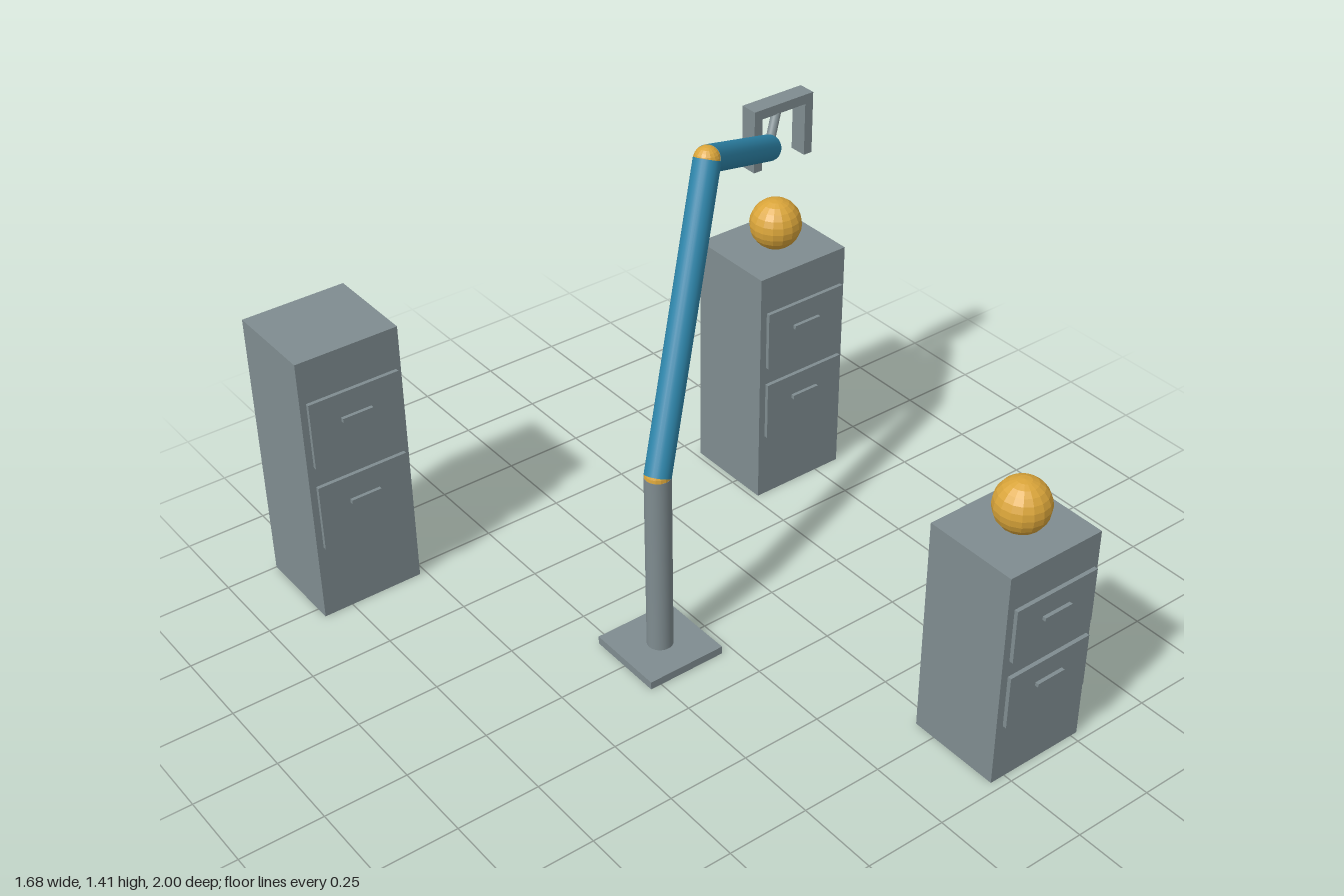
import * as THREE from 'three';

const mat = (name, color, extra = {}) => {
  const m = new THREE.MeshStandardMaterial({ color, ...extra });
  m.name = name;
  return m;
};

export function createModel() {
  const grey = mat('steel grey', 0x7f8c90);
  const blue = mat('arm blue', 0x2e86ab);
  const gold = mat('gold', 0xdaa53a, { flatShading: true });
  const model = new THREE.Group();
  model.name = 'robotArmAndCabinets';

  const add = (parent, name, geometry, material, x, y, z) => {
    const mesh = new THREE.Mesh(geometry, material);
    mesh.name = name;
    mesh.position.set(x, y, z);
    parent.add(mesh);
    return mesh;
  };
  const box = (parent, name, w, h, d, x, y, z) =>
    add(parent, name, new THREE.BoxGeometry(w, h, d), grey, x, y, z);
  const ball = (parent, name, r, x, y, z) =>
    add(parent, name, new THREE.SphereGeometry(r, 16, 12), gold, x, y, z);

  // Cylinder running between two points
  const rod = (parent, name, a, b, r, material) => {
    const dir = b.clone().sub(a);
    const mid = a.clone().add(b).multiplyScalar(0.5);
    const mesh = add(parent, name, new THREE.CylinderGeometry(r, r, dir.length(), 24), material, mid.x, mid.y, mid.z);
    mesh.quaternion.setFromUnitVectors(new THREE.Vector3(0, 1, 0), dir.normalize());
  };

  // Cabinet with two drawers and handles on its front
  const cabinet = (name, x, back, height) => {
    const g = new THREE.Group();
    g.name = name;
    g.position.set(x, 0, back);
    const depth = 0.292;
    box(g, 'cabinetBody', 0.32, height, depth, 0, height / 2, depth / 2);
    for (const f of [0.728, 0.407]) {
      box(g, 'drawerFront', 0.284, height * 0.245, 0.012, 0, height * f, depth + 0.011);
      box(g, 'drawerHandle', 0.096, height * 0.016, 0.011, 0, height * (f + 0.026), depth + 0.0225);
    }
    model.add(g);
  };
  cabinet('leftRearCabinet', -0.68, -1, 0.868);
  cabinet('rightRearCabinet', 0.678, -0.688, 0.778);
  cabinet('frontCabinet', 0.362, 0.68, 0.687);

  // Balls resting on two cabinets
  ball(model, 'rearBall', 0.079, 0.678, 0.857, -0.529);
  ball(model, 'frontBall', 0.079, 0.363, 0.766, 0.838);

  // Arm: plate, column, two links with ball joints
  const arm = new THREE.Group();
  arm.name = 'robotArm';
  model.add(arm);
  const foot = new THREE.Vector3(-0.16, 0.025, 0);
  const shoulder = new THREE.Vector3(-0.16, 0.605, 0);
  const elbow = new THREE.Vector3(0.167, 1.372, -0.204);
  const wrist = new THREE.Vector3(0.588, 1.164, -0.46);
  const grip = new THREE.Vector3(0.677, 1.25, -0.528);
  box(arm, 'basePlate', 0.25, 0.025, 0.25, -0.16, 0.0125, 0);
  rod(arm, 'column', foot, shoulder, 0.0385, grey);
  rod(arm, 'lowerArm', shoulder, elbow, 0.0385, blue);
  rod(arm, 'upperArm', elbow, wrist, 0.0385, blue);
  rod(arm, 'wristRod', wrist, grip, 0.014, grey);
  ball(arm, 'shoulderJoint', 0.038, shoulder.x, shoulder.y, shoulder.z);
  ball(arm, 'elbowJoint', 0.038, elbow.x, elbow.y, elbow.z);

  // Gripper: crossbar and two hanging fingers
  const gripper = new THREE.Group();
  gripper.name = 'gripper';
  gripper.position.copy(grip);
  arm.add(gripper);
  box(gripper, 'gripperBar', 0.216, 0.03, 0.056, 0, 0, 0);
  for (const s of [-1, 1])
    box(gripper, 'gripperFinger', 0.029, 0.165, 0.056, s * 0.0935, -0.0965, 0);

  return model;
}
